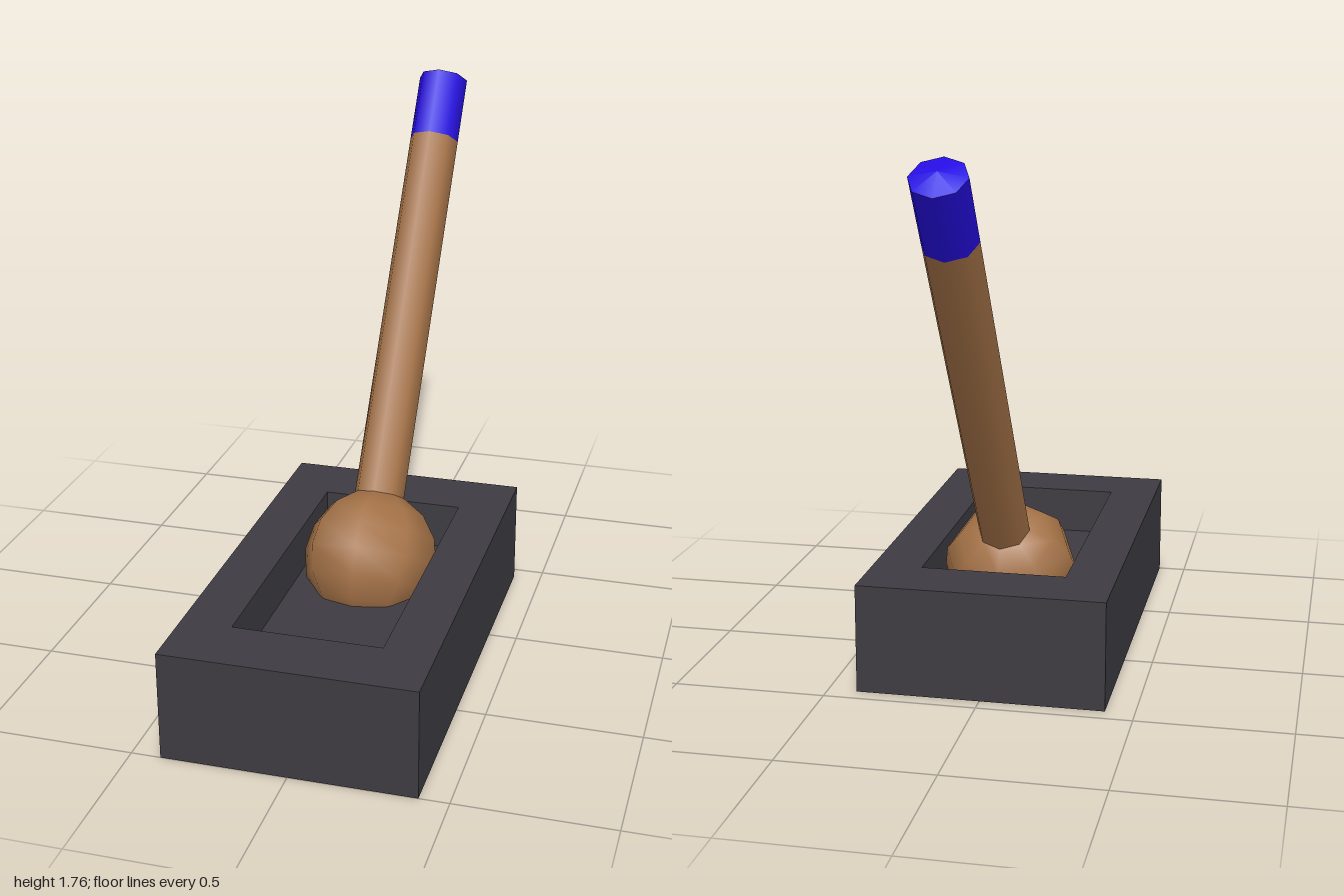
import * as THREE from 'three';

const mat = (name, color) => {
  const m = new THREE.MeshStandardMaterial({ color });
  m.name = name;
  return m;
};

export function createModel() {
  const root = new THREE.Group();
  root.name = 'lever';
  const stone = mat('dark stone', 0x3e3c42);
  const wood = mat('brown wood', 0xa47247);
  const blue = mat('blue tip', 0x250de0);

  const add = (parent, name, geometry, material, x = 0, y = 0, z = 0) => {
    const mesh = new THREE.Mesh(geometry, material);
    mesh.name = name;
    mesh.position.set(x, y, z);
    parent.add(mesh);
    return mesh;
  };

  // Counter-clockwise rectangle, with shape y standing for -z
  const rect = (Type, w, z0, z1) => new Type([
    new THREE.Vector2(-w, -z1), new THREE.Vector2(w, -z1),
    new THREE.Vector2(w, -z0), new THREE.Vector2(-w, -z0),
  ]);

  // Base: a solid slab with a rectangular rim around the pocket
  const floorY = 0.2, topY = 0.36, back = -0.445, front = 1;
  add(root, 'baseSlab', new THREE.BoxGeometry(0.81, floorY, front - back), stone,
    0, floorY / 2, (front + back) / 2);
  const rim = rect(THREE.Shape, 0.405, back, front);
  rim.holes.push(rect(THREE.Path, 0.24, -0.225, 0.785));
  const rimGeo = new THREE.ExtrudeGeometry(rim, { depth: topY - floorY, bevelEnabled: false });
  rimGeo.rotateX(-Math.PI / 2);
  add(root, 'baseRim', rimGeo, stone, 0, floorY, 0);

  // Handle assembly, built upright on its pivot and tilted back
  const handle = new THREE.Group();
  handle.name = 'handle';
  handle.position.set(0, 0.28, 0.072);
  handle.rotation.x = -Math.atan2(1, 1.435);
  root.add(handle);

  const r = 0.087, length = 1.749, tip = 0.235, dome = 0.022;
  const tube = (h) => new THREE.CylinderGeometry(r, r, h, 8, 1, true);
  add(handle, 'pivotBall', new THREE.SphereGeometry(0.23, 8, 8), wood);
  add(handle, 'stick', tube(length - tip), wood, 0, (length - tip) / 2, 0);
  add(handle, 'tipSleeve', tube(tip), blue, 0, length - tip / 2, 0);
  add(handle, 'tipCap', new THREE.ConeGeometry(r, dome, 8, 1, true), blue, 0, length + dome / 2, 0);

  return root;
}
